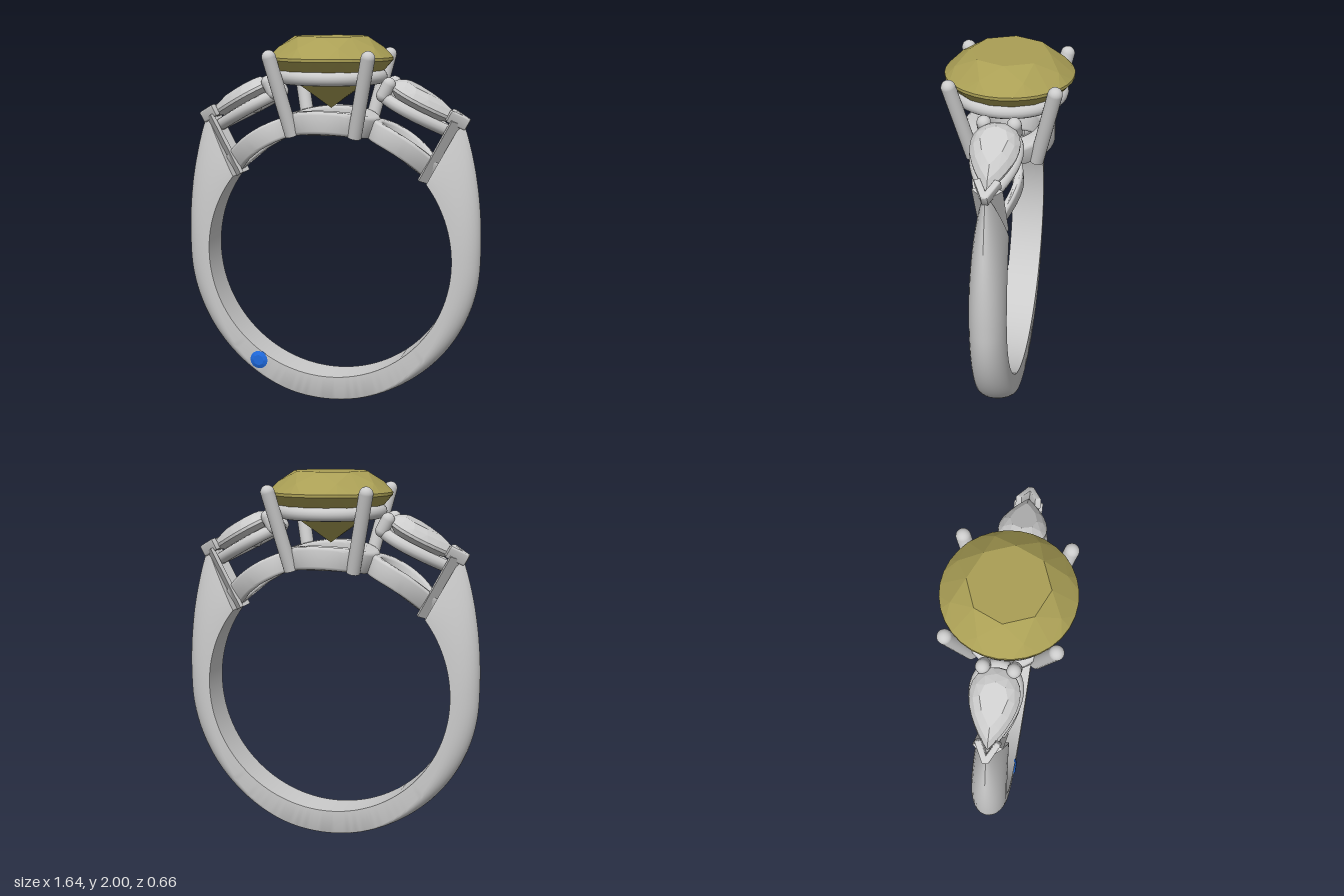
import * as THREE from 'three';
import { toCreasedNormals } from 'three/addons/utils/BufferGeometryUtils.js';
import { ConvexGeometry } from 'three/addons/geometries/ConvexGeometry.js';

const V3 = (x, y, z) => new THREE.Vector3(x, y, z);
const CY = 0.82, R = 0.68; // centre height and radius of the finger hole
const TILT = THREE.MathUtils.degToRad(28);
const metal = new THREE.MeshStandardMaterial({ color: 0xcccccc });
const paleStone = new THREE.MeshStandardMaterial({ color: 0xcccccc, flatShading: true });
const oliveStone = new THREE.MeshStandardMaterial({ color: 0xaa9f55, flatShading: true });
const blueStone = new THREE.MeshStandardMaterial({ color: 0x1f6be0, flatShading: true });

function add(parent, name, geometry, material = metal) {
  const mesh = new THREE.Mesh(geometry, material);
  mesh.name = name;
  parent.add(mesh);
  return mesh;
}

// Pear outline, pointed at +x, half length a and half width b
const pear = (a, b, n = 48, x0 = 0) => Array.from({ length: n }, (_, i) => {
  const t = (i / n) * Math.PI * 2;
  return new THREE.Vector2(x0 + a * Math.cos(t), 1.3 * b * Math.sin(t) * Math.sin(t / 2));
});
const circle = (r, n = 48, turn = 0) => Array.from({ length: n }, (_, i) => {
  const t = ((i + turn) / n) * Math.PI * 2;
  return new THREE.Vector2(r * Math.cos(t), r * Math.sin(t));
});

// Upright prism with an optional hole; outline in x and z, height in y
function prism(outline, hole, height, bevel) {
  const shape = new THREE.Shape(outline);
  if (hole) shape.holes.push(new THREE.Path(hole));
  return new THREE.ExtrudeGeometry(shape, {
    depth: height - 2 * bevel, bevelEnabled: bevel > 0, bevelSize: bevel,
    bevelThickness: bevel, bevelOffset: -bevel, bevelSegments: 3, steps: 1,
  }).rotateX(-Math.PI / 2).translate(0, bevel, 0);
}

// Wraps a flat prism round the finger hole
function wrap(geometry) {
  const p = geometry.attributes.position;
  for (let i = 0; i < p.count; i++) {
    const a = p.getX(i) / R, r = R + p.getY(i);
    p.setXY(i, r * Math.sin(a), CY + r * Math.cos(a));
  }
  return toCreasedNormals(geometry, 0.6);
}

// Faceted stone from rings of [outline, height]
function stone(rings, culet) {
  const pts = [culet];
  for (const [outline, y] of rings) for (const q of outline) pts.push(V3(q.x, y, q.y));
  return new ConvexGeometry(pts);
}

// Closed surface through loops of points, capped at both ends
function loft(loops) {
  const cap = (loop) => {
    const c = loop.reduce((s, p) => s.add(p), V3(0, 0, 0)).divideScalar(loop.length);
    return loop.map(() => c);
  };
  const all = [cap(loops[0]), ...loops, cap(loops[loops.length - 1])];
  const n = loops[0].length, pos = [], index = [];
  all.forEach((loop) => loop.forEach((p) => pos.push(p.x, p.y, p.z)));
  for (let i = 0; i < all.length - 1; i++) {
    for (let j = 0; j < n; j++) {
      const a = i * n + j, b = i * n + ((j + 1) % n);
      index.push(a, b, a + n, b, b + n, a + n);
    }
  }
  const g = new THREE.BufferGeometry();
  g.setAttribute('position', new THREE.Float32BufferAttribute(pos, 3));
  g.setIndex(index);
  return toCreasedNormals(g, 0.55);
}

// Band: flat and square at the base, domed at the sides, pinched at the shoulders
function shank() {
  const shoulder = new THREE.CubicBezierCurve3(
    V3(0.82, CY, 0), V3(0.83, 1.08, 0), V3(0.79, 1.36, 0), V3(0.71, 1.57, 0));
  const loops = [], N = 72, M = 16;
  for (let i = -N; i <= N; i++) {
    const side = i < 0 ? -1 : 1;
    const deg = -90 + (128 * Math.abs(i)) / N;
    const th = THREE.MathUtils.degToRad(deg);
    const k = Math.max(0, deg / 38);
    const inner = V3(R * Math.cos(th), CY + R * Math.sin(th), 0);
    const outer = deg < 0 ? V3(0.82 * Math.cos(th), CY + 0.82 * Math.sin(th), 0) : shoulder.getPoint(k);
    const flat = 0.88 - 0.83 * THREE.MathUtils.smoothstep(deg, -80, 0);
    const w = 0.095 - 0.012 * k * k;
    const e = 2 / (2 - 0.75 * k * k); // dome turns into a wedge
    const loop = [V3(inner.x * side, inner.y, w)];
    for (let j = 0; j <= M; j++) {
      const a = (j / M) * Math.PI, c = Math.cos(a);
      const f = flat + (1 - flat) * Math.pow(Math.max(0, Math.sin(a)), e);
      const p = inner.clone().lerp(outer, f);
      loop.push(V3(p.x * side, p.y, w * Math.sign(c) * Math.pow(Math.abs(c), e)));
    }
    loop.push(V3(inner.x * side, inner.y, -w));
    loops.push(loop);
  }
  return loft(loops);
}

// Rounded bar between two points
function bar(parent, name, from, to, r, flatFoot = false) {
  const d = to.clone().sub(from), len = d.length();
  const g = new THREE.Group();
  g.name = name;
  g.position.copy(from);
  g.quaternion.setFromUnitVectors(V3(0, 1, 0), d.normalize());
  add(g, 'post', new THREE.CylinderGeometry(r, r, len, 20).translate(0, len / 2, 0));
  add(g, 'tip', new THREE.SphereGeometry(r, 20, 12).translate(0, len, 0));
  if (!flatFoot) add(g, 'foot', new THREE.SphereGeometry(r, 20, 12));
  parent.add(g);
}

// Angled bracket in plan, apex at x = u
const vee = (u, depth, half, t) => [
  [u, -0.015], [u, 0.015], [u - depth, half], [u - depth - t * 0.4, half - t], [u - t * 1.5, 0],
  [u - depth - t * 0.4, t - half], [u - depth, -half],
].map(([x, y]) => new THREE.Vector2(x, y));

// Side setting on the +x shoulder
function sideSetting() {
  const side = new THREE.Group();
  add(side, 'sideGallery', wrap(prism(pear(0.215, 0.125, 48, 0.415), pear(0.15, 0.083, 48, 0.405), 0.11, 0.015)));

  const head = new THREE.Group();
  head.name = 'sideHead';
  head.position.set(0.5, 1.66, 0);
  head.rotation.z = -TILT;
  side.add(head);

  add(head, 'pearStone', stone([
    [pear(0.11, 0.068, 10, -0.03), 0.06], [pear(0.165, 0.1, 14, -0.01), 0.038],
    [pear(0.2, 0.122, 28), 0.008], [pear(0.2, 0.122, 28), -0.008],
  ], V3(-0.05, -0.11, 0)), paleStone);

  const path = pear(0.19, 0.1, 40, -0.01).map((q) => V3(q.x, -0.068, q.y));
  add(head, 'sideBasketRing', new THREE.TubeGeometry(
    new THREE.CatmullRomCurve3(path, true), 80, 0.033, 12, true));

  for (const s of [-1, 1]) {
    bar(head, 'sideProng', V3(-0.195, -0.06, s * 0.075), V3(-0.195, 0.005, s * 0.075), 0.036);
  }
  // Bracket holding the point of the stone
  add(head, 'bracketPost', toCreasedNormals(prism(vee(0.235, 0.05, 0.075, 0.025), null, 0.36, 0), 0.5)
    .translate(0, -0.36, 0));
  add(head, 'bracketTip', toCreasedNormals(prism(vee(0.26, 0.1, 0.065, 0.03), null, 0.065, 0.008), 0.6)
    .translate(0, -0.02, 0));
  return side;
}

export function createModel() {
  const ring = new THREE.Group();
  ring.name = 'ring';
  add(ring, 'shank', shank());

  // Centre head
  const centre = new THREE.Group();
  centre.name = 'centreHead';
  ring.add(centre);
  add(centre, 'centreGallery', wrap(prism(circle(0.235), circle(0.15), 0.12, 0.018)));
  add(centre, 'basketRing', new THREE.TorusGeometry(0.263, 0.037, 16, 64)
    .rotateX(Math.PI / 2).translate(0, 1.79, 0));
  for (const x of [-1, 1]) for (const z of [-1, 1]) {
    bar(centre, 'prong', V3(x * 0.17, 1.485, z * 0.165), V3(x * 0.262, 1.897, z * 0.262), 0.037, true);
  }
  add(centre, 'centreStone', stone([
    [circle(0.2, 8), 2.0], [circle(0.282, 8, 0.5), 1.943],
    [circle(0.33, 32), 1.892], [circle(0.33, 32), 1.877],
    [circle(0.285, 16, 0.5), 1.825], [circle(0.15, 8), 1.735],
  ], V3(0, 1.62, 0)), oliveStone);

  // Side settings
  for (const [name, turn] of [['leftSetting', 0], ['rightSetting', Math.PI]]) {
    const side = sideSetting();
    side.name = name;
    side.rotation.y = turn;
    ring.add(side);
  }

  // Small accent stone set in the front of the band
  const accent = add(ring, 'accentStone', stone([
    [circle(0.03, 8), 0.012], [circle(0.053, 16), 0.002], [circle(0.053, 16), -0.004],
  ], V3(0, -0.035, 0)), blueStone);
  accent.rotation.x = Math.PI / 2;
  accent.position.set(-0.395, 0.205, 0.092);
  return ring;
}
